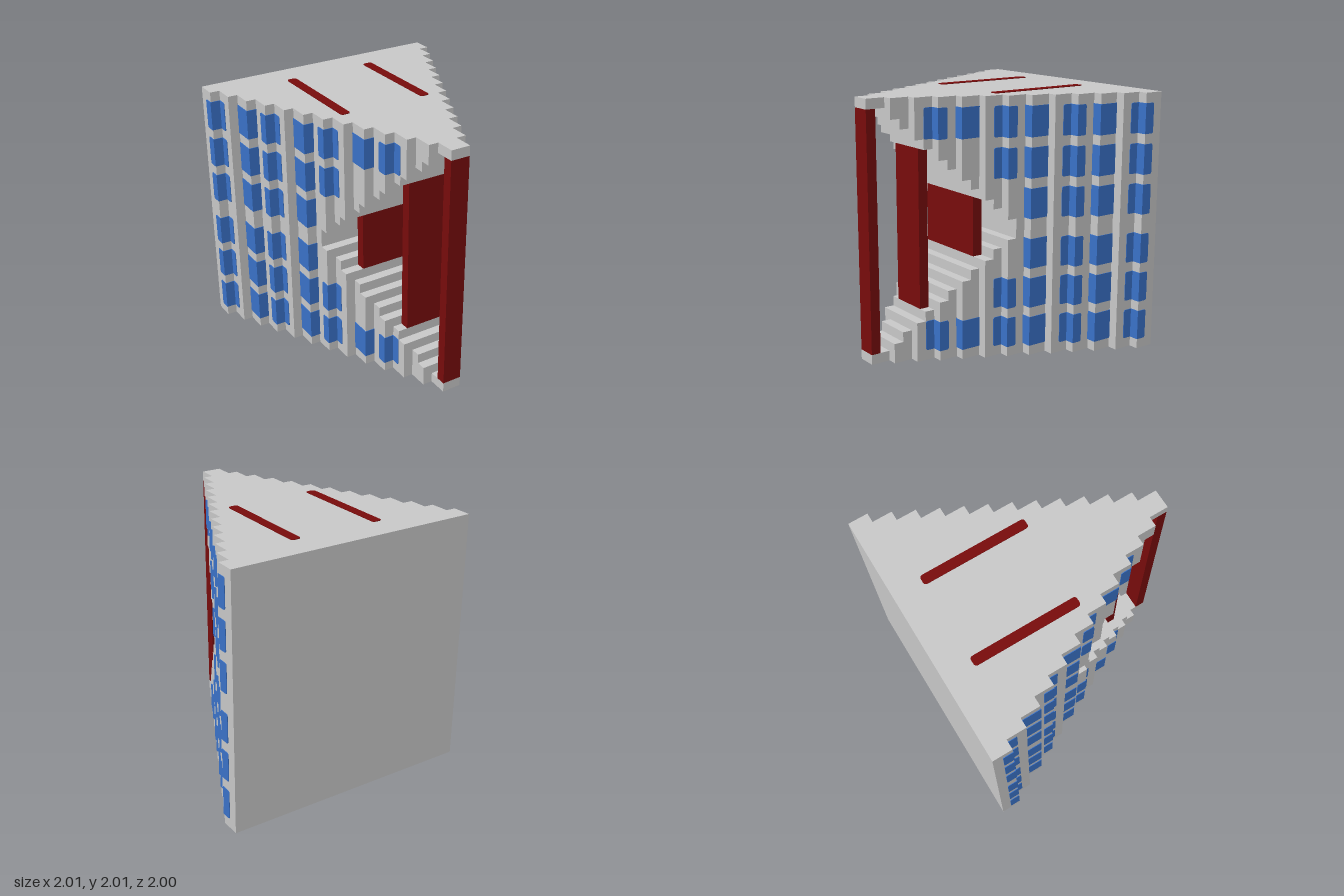
import * as THREE from 'three';

const U = 2 / 26;   // building module
const T = 0.005;    // thickness of painted plates

const mat = (name, color) => {
  const m = new THREE.MeshStandardMaterial({ color });
  m.name = name;
  return m;
};

// Rectangle from (0,0) to (w,h) with optional rounding of its start and end edges
function roundedPlate(w, h, r0, r1, depth) {
  const s = new THREE.Shape();
  s.moveTo(r0, 0);
  s.lineTo(w - r1, 0);
  if (r1) s.quadraticCurveTo(w, 0, w, r1);
  s.lineTo(w, h - r1);
  if (r1) s.quadraticCurveTo(w, h, w - r1, h);
  s.lineTo(r0, h);
  if (r0) s.quadraticCurveTo(0, h, 0, h - r0);
  s.lineTo(0, r0);
  if (r0) s.quadraticCurveTo(0, 0, r0, 0);
  return new THREE.ExtrudeGeometry(s, { depth, bevelEnabled: false, curveSegments: 4 });
}

export function createModel() {
  const model = new THREE.Group();
  model.name = 'wedgeTower';
  const concrete = mat('concreteGrey', 0xcccccc);
  const glass = mat('windowBlue', 0x3b74cc);
  const red = mat('darkRed', 0x7a0c0c);

  const group = (name) => {
    const g = new THREE.Group();
    g.name = name;
    model.add(g);
    return g;
  };
  const box = (parent, name, material, x0, x1, y0, y1, z0, z1) => {
    const m = new THREE.Mesh(new THREE.BoxGeometry(x1 - x0, y1 - y0, z1 - z0), material);
    m.position.set((x0 + x1) / 2, (y0 + y1) / 2, (z0 + z1) / 2);
    m.name = name;
    parent.add(m);
  };
  // Front plane of stepped layer k (1 = tip, 13 = back); its half width is k * U
  const frontZ = (k) => 1 - 2 * U * (k - 1);

  // Stepped body: solid layers at the back, floor and roof steps around the front notch
  const body = group('body');
  for (let k = 1; k <= 13; k++) {
    const w = k * U, z = frontZ(k);
    if (k >= 8) {
      box(body, 'solidLayer', concrete, -w, w, 0, 2, z - 2 * U, z);
      continue;
    }
    for (let half = 0; half < 2; half++) {
      const j = 2 * (k - 1) + half, h = Math.max(1, j) * U, z1 = 1 - j * U;
      if (j >= 13) {
        box(body, 'solidLayer', concrete, -w, w, 0, 2, z1 - U, z1);
      } else {
        box(body, 'floorStep', concrete, -w, w, 0, h, z1 - U, z1);
        box(body, 'roofStep', concrete, -w, w, 2 - h, 2, z1 - U, z1);
      }
    }
  }

  // Red pillars standing in the notch: [slice index, half width in modules]
  const pillars = group('pillars');
  for (const [j, n] of [[0, 1], [5, 2], [10, 4]]) {
    const h = Math.max(1, j) * U, z = 1 - j * U;
    box(pillars, 'pillar', red, -n * U, n * U, h, 2 - h, z - U, z);
  }

  // Windows wrapping around the steps
  const windows = group('windows');
  const frontPane = (k, y) => {
    for (const s of [-1, 1]) {
      const a = s * (k - 1) * U, b = s * (k * U + T), z = frontZ(k);
      box(windows, 'frontPane', glass, Math.min(a, b), Math.max(a, b), y, y + 3 * U, z, z + T);
    }
  };
  const sidePane = (k, y, zStart, length, r0, r1) => {
    for (const s of [-1, 1]) {
      const m = new THREE.Mesh(roundedPlate(length, 3 * U, r0, r1, T), glass);
      m.rotation.y = Math.PI / 2;
      m.position.set(s > 0 ? k * U : -k * U - T, y, zStart);
      m.name = 'sidePane';
      windows.add(m);
    }
  };
  // Each row pair: [lower edge in modules, first glazed layer]
  for (const [row, first] of [[1, 4], [5, 7], [9, 8]]) {
    for (const y of [row * U, 2 - (row + 3) * U]) {
      for (let k = first; k <= 13; k++) {
        const z = frontZ(k);
        if (k % 3 === 1) {          // window centred on the inner step corner
          sidePane(k - 1, y, z + U, U, 0.016, 0);
          frontPane(k, y);
          sidePane(k, y, z, U, 0, 0.016);
        } else if (k % 3 === 2) {   // window covering one whole step
          frontPane(k, y);
          sidePane(k, y, z, 2 * U, 0, 0);
        }
      }
    }
  }

  // Pair of painted landing strips on the roof
  const strips = group('roofStrips');
  for (const x of [-5 * U, 4 * U]) {
    const m = new THREE.Mesh(roundedPlate(U, 11 * U, 0.025, 0.025, T), red);
    m.rotation.x = -Math.PI / 2;
    m.position.set(x, 2, U);
    m.name = 'roofStrip';
    strips.add(m);
  }
  return model;
}
